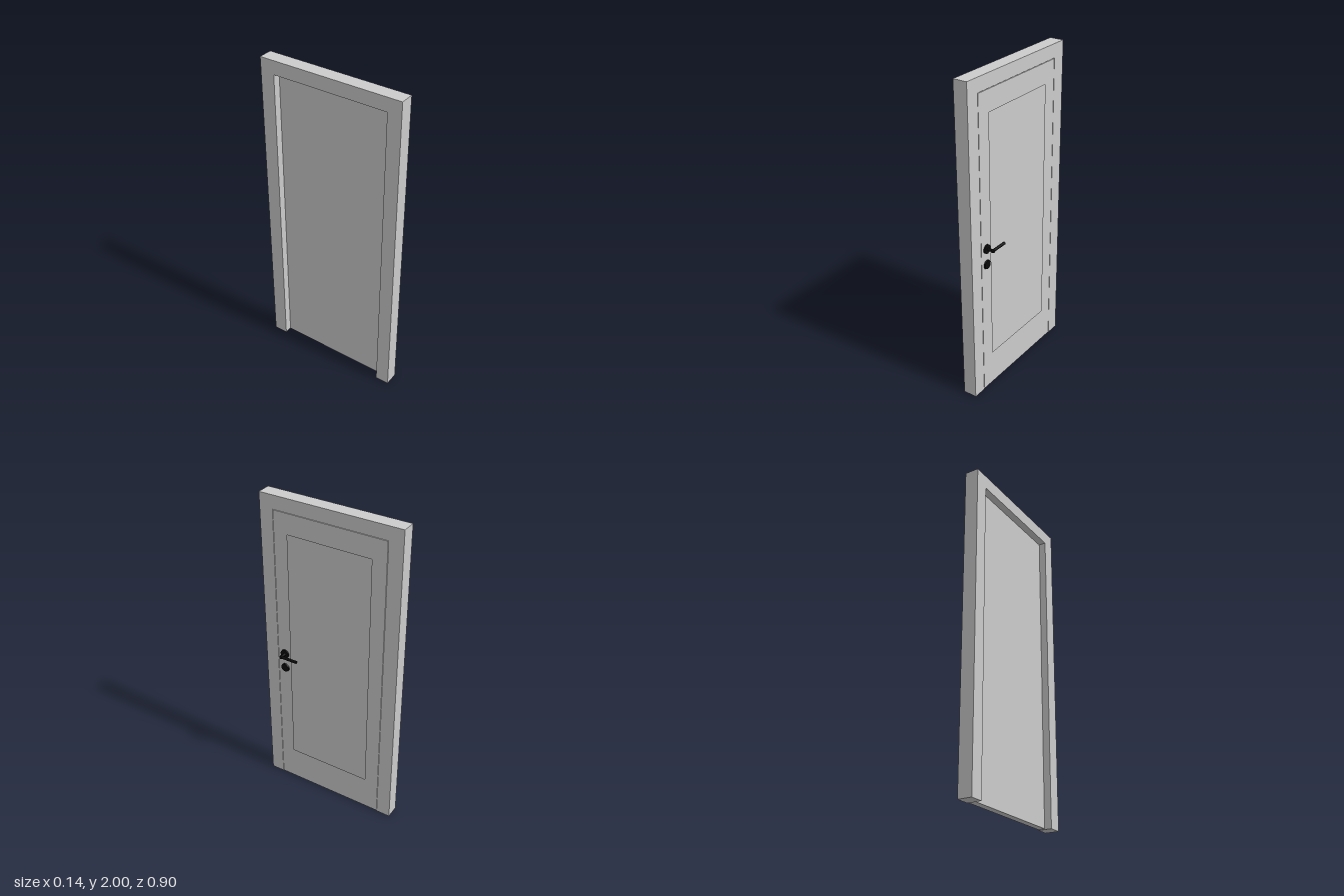
import * as THREE from 'three';

const FRONT = 0.017, BACK = -0.07;

// Polygon from [z, y] corners, drawn with shape x = -z so it can be turned to face +x
function outline(points, Type = THREE.Shape) {
  return new Type(points.map(([z, y]) => new THREE.Vector2(-z, y)));
}

function rect(z0, z1, y0, y1, Type) {
  return outline([[z0, y0], [z1, y0], [z1, y1], [z0, y1]], Type);
}

// Extrudes a shape along x, between x0 and x1
function slab(name, shape, x0, x1, material) {
  const geo = new THREE.ExtrudeGeometry(shape, { depth: x1 - x0, bevelEnabled: false });
  geo.rotateY(Math.PI / 2);
  geo.translate(x0, 0, 0);
  const mesh = new THREE.Mesh(geo, material);
  mesh.name = name;
  return mesh;
}

// Round bar between two points
function bar(name, from, to, r0, r1, material) {
  const a = new THREE.Vector3(...from), b = new THREE.Vector3(...to);
  const dir = b.clone().sub(a);
  const mesh = new THREE.Mesh(new THREE.CylinderGeometry(r1, r0, dir.length(), 32), material);
  mesh.position.copy(a).add(b).multiplyScalar(0.5);
  mesh.quaternion.setFromUnitVectors(new THREE.Vector3(0, 1, 0), dir.normalize());
  mesh.name = name;
  return mesh;
}

export function createModel() {
  const model = new THREE.Group();
  model.name = 'door';
  const grey = new THREE.MeshStandardMaterial({ color: 0xcccccc });
  const black = new THREE.MeshStandardMaterial({ color: 0x0a0a0a });

  // Frame: two jambs and a head, open at the floor
  const frameShape = outline([
    [0.45, 0], [0.45, 2], [-0.45, 2], [-0.45, 0],
    [-0.361, 0], [-0.361, 1.916], [0.364, 1.916], [0.364, 0],
  ]);
  model.add(slab('frame', frameShape, BACK, FRONT, grey));

  // Leaf: flat back, front layer with a cut-out that forms the sunken panel
  const leaf = new THREE.Group();
  leaf.name = 'leaf';
  const edge = [-0.358, 0.361, 0.004, 1.913];
  const backX = -0.027, panelX = FRONT - 0.011;
  leaf.add(slab('panel', rect(...edge), backX, panelX, grey));
  const surround = rect(...edge);
  surround.holes.push(rect(-0.267, 0.271, 0.228, 1.784, THREE.Path));
  leaf.add(slab('panelSurround', surround, panelX, FRONT, grey));
  model.add(leaf);

  // Lever handle with its round plate, and the lock plate below
  const handle = new THREE.Group();
  handle.name = 'handle';
  const y = 0.978, z = 0.312, r = 0.009, leverX = 0.061;
  handle.add(
    bar('handlePlate', [FRONT, y, z + 0.002], [0.026, y, z + 0.002], 0.028, 0.028, black),
    bar('stem', [FRONT, y, z], [leverX + r, y, z], r, r, black),
    bar('lever', [leverX, y, z + r], [leverX, y, 0.202], r, r, black),
    bar('lockPlate', [FRONT, 0.876, z + 0.002], [0.026, 0.876, z + 0.002], 0.028, 0.026, black),
  );
  model.add(handle);
  return model;
}
